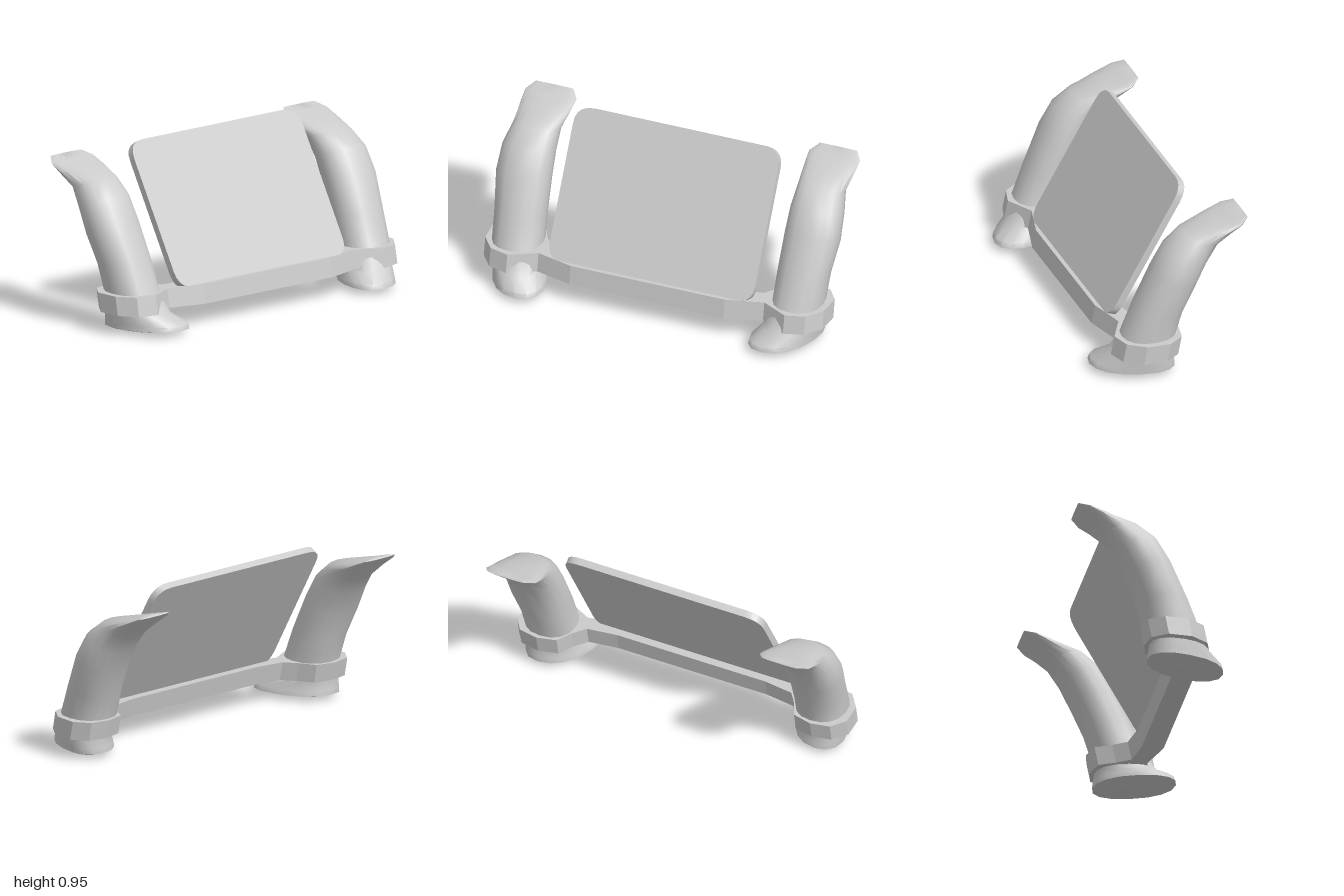
import * as THREE from 'three';
import { toCreasedNormals } from 'three/addons/utils/BufferGeometryUtils.js';

const SIDES = 16;

// Grip sections, bottom to top: [backX, backY, frontX, frontY, innerZ, outerZ, skew]
const SECTIONS = [
  [0.01, 0.02, 0.39, 0.023, 0.64, 0.93, 0.06],
  [-0.022, 0.03, 0.417, 0.03, 0.605, 0.955, 0.06],
  [-0.02, 0.06, 0.408, 0.056, 0.61, 0.957, 0.06],
  [-0.01, 0.11, 0.33, 0.106, 0.665, 0.96, 0.03],
  [-0.03, 0.21, 0.27, 0.215, 0.68, 0.96, 0],
  [-0.07, 0.35, 0.2, 0.39, 0.685, 0.97, 0],
  [-0.13, 0.5, 0.1, 0.6, 0.69, 0.997, 0],
  [-0.2, 0.64, 0.025, 0.725, 0.695, 0.99, 0],
  [-0.27, 0.735, -0.075, 0.803, 0.7, 0.965, 0],
  [-0.335, 0.8, -0.23, 0.843, 0.685, 0.975, 0],
  [-0.385, 0.846, -0.34, 0.87, 0.68, 0.978, 0],
  [-0.42, 0.88, -0.413, 0.888, 0.72, 0.94, 0],
];

// Smooth loft through the slanted sections; side = +1 or -1 mirrors it in z
function gripGeometry(side) {
  const pos = [], index = [];
  const tri = (a, b, c) => (side > 0 ? index.push(a, b, c) : index.push(a, c, b));
  const round = (v) => Math.sign(v) * Math.abs(v) ** 0.88;
  for (const [bx, by, fx, fy, z0, z1, skew] of SECTIONS) {
    for (let i = 0; i < SIDES; i++) {
      const t = (i / SIDES) * Math.PI * 2;
      const c = round(Math.cos(t)), s = round(Math.sin(t));
      const k = (c + 1) / 2;
      const half = (z1 - z0) / 2 - skew * 0.3;
      const z = (z0 + z1) / 2 + half * s - skew * c;
      pos.push(bx + (fx - bx) * k, by + (fy - by) * k, side * z);
    }
  }
  for (let r = 0; r < SECTIONS.length - 1; r++) {
    for (let i = 0; i < SIDES; i++) {
      const a = r * SIDES + i, b = r * SIDES + ((i + 1) % SIDES);
      tri(a, a + SIDES, b);
      tri(b, a + SIDES, b + SIDES);
    }
  }
  // End caps
  const base = pos.length / 3, top = (SECTIONS.length - 1) * SIDES;
  pos.push(0.09, 0, side * 0.8, -0.418, 0.885, side * 0.83);
  for (let i = 0; i < SIDES; i++) {
    const j = (i + 1) % SIDES;
    tri(base, i, j);
    tri(base + 1, top + j, top + i);
  }
  const g = new THREE.BufferGeometry();
  g.setAttribute('position', new THREE.Float32BufferAttribute(pos, 3));
  g.setIndex(index);
  return toCreasedNormals(g, 0.8);
}

// Crossbar with a collar at each end: one plan outline (x, z), extruded up and sheared
function crossbarGeometry() {
  const half = [
    [0.29, 0.45], [0.235, 0.66], [0.315, 0.81], [0.285, 0.92], [0.19, 0.99],
    [0.06, 1.0], [-0.025, 0.94], [-0.048, 0.83], [-0.02, 0.72], [0.07, 0.675],
    [0.145, 0.62], [0.17, 0.45],
  ];
  const mirrored = half.map(([x, z]) => [x, -z]).reverse();
  const shape = new THREE.Shape([...half, ...mirrored].map(([x, z]) => new THREE.Vector2(x, z)));
  const g = new THREE.ExtrudeGeometry(shape, { depth: 0.104, bevelEnabled: false });
  g.rotateX(Math.PI / 2).translate(0, 0.221, 0);
  const p = g.attributes.position;
  for (let i = 0; i < p.count; i++) p.setX(i, p.getX(i) - 0.2 * (p.getY(i) - 0.17));
  g.computeVertexNormals();
  return g;
}

// Rounded slab leaning back at 60 degrees
function panelGeometry() {
  const w = 0.6, h = 0.853, r = 0.1;
  const s = new THREE.Shape();
  s.moveTo(-w + r, 0);
  s.lineTo(w - r, 0);
  s.quadraticCurveTo(w, 0, w, r);
  s.lineTo(w, h - r);
  s.quadraticCurveTo(w, h, w - r, h);
  s.lineTo(-w + r, h);
  s.quadraticCurveTo(-w, h, -w, h - r);
  s.lineTo(-w, r);
  s.quadraticCurveTo(-w, 0, -w + r, 0);
  const g = new THREE.ExtrudeGeometry(s, { depth: 0.04, bevelEnabled: false, curveSegments: 5 });
  const across = new THREE.Vector3(0, 0, 1);
  const up = new THREE.Vector3(-0.5, 0.866, 0);
  const m = new THREE.Matrix4().makeBasis(across, up, across.clone().cross(up));
  m.setPosition(0.26, 0.215, 0);
  return toCreasedNormals(g.applyMatrix4(m), 0.6);
}

export function createModel() {
  const group = new THREE.Group();
  const material = new THREE.MeshStandardMaterial({ color: 0xcccccc });
  const add = (name, geometry) => {
    const mesh = new THREE.Mesh(geometry, material);
    mesh.name = name;
    group.add(mesh);
  };
  add('gripFront', gripGeometry(1));
  add('gripBack', gripGeometry(-1));
  add('crossbar', crossbarGeometry());
  add('panel', panelGeometry());
  return group;
}
